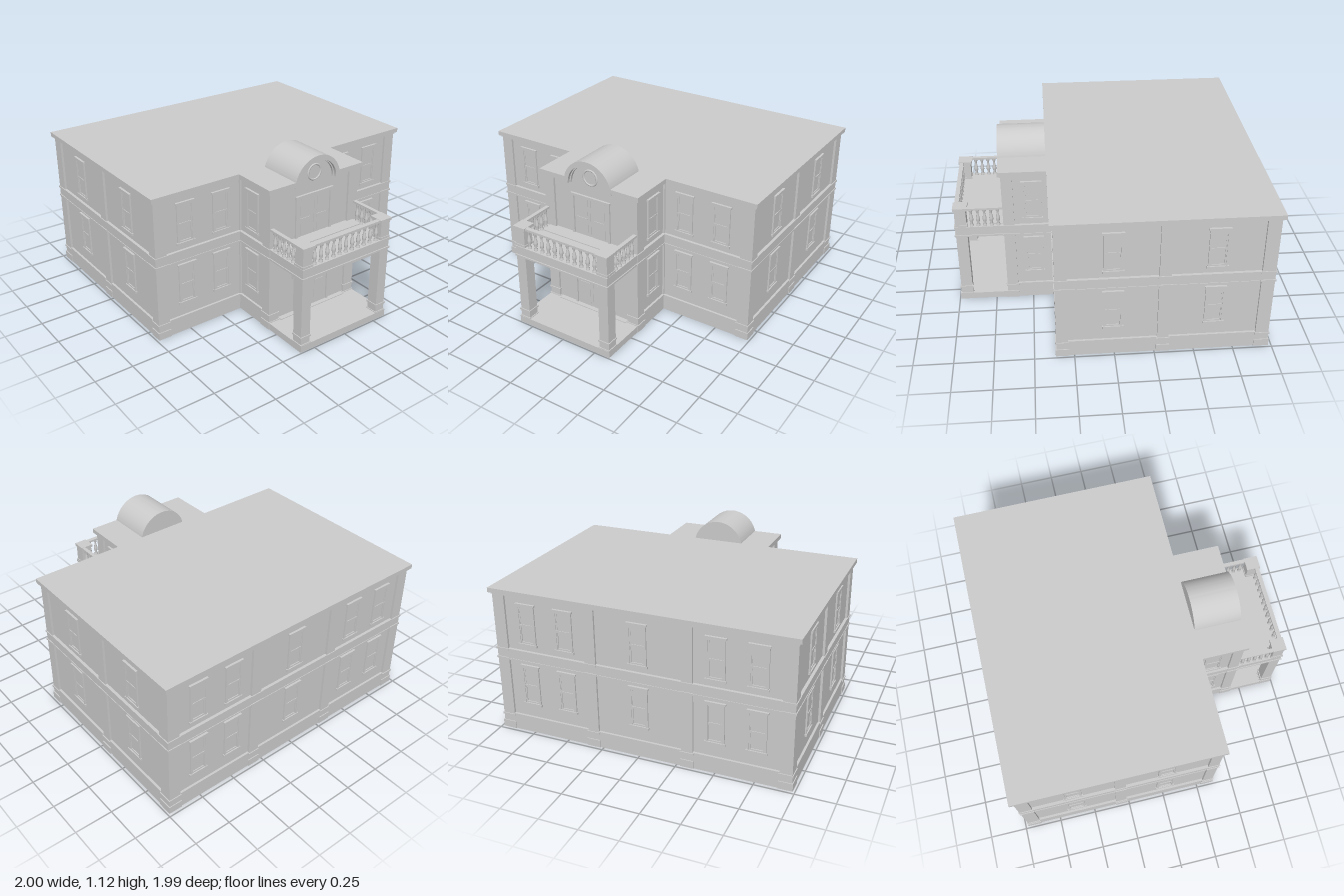
import * as THREE from 'three';
import { toCreasedNormals } from 'three/addons/utils/BufferGeometryUtils.js';

const material = new THREE.MeshStandardMaterial({ color: 0xcccccc });

function add(parent, name, geometry) {
  const mesh = new THREE.Mesh(geometry, material);
  mesh.name = name;
  parent.add(mesh);
  return mesh;
}

// Box given by its limits on each axis
function box(parent, name, x0, x1, y0, y1, z0, z1) {
  const mesh = add(parent, name, new THREE.BoxGeometry(x1 - x0, y1 - y0, z1 - z0));
  mesh.position.set((x0 + x1) / 2, (y0 + y1) / 2, (z0 + z1) / 2);
  return mesh;
}

// T-shaped footprint grown by d, from the front left corner round to the front right
function footprint(d) {
  const left = [[0.355 + d, 0.672 + d], [0.355 + d, 0.362 + d], [0.98 + d, 0.362 + d], [0.98 + d, -0.974 - d]];
  const right = left.map(([x, z]) => [-x, z]).reverse();
  return [...left, ...right].map(([x, z]) => new THREE.Vector2(x, z));
}

function extrudeUp(shape, y0, y1) {
  const g = new THREE.ExtrudeGeometry(shape, { depth: y1 - y0, bevelEnabled: false });
  g.rotateX(Math.PI / 2);
  return g.translate(0, y1, 0);
}

// Hollow band round the whole house, optionally open at the middle of the front
function band(parent, name, d, y0, y1, gap = 0, inner = -0.075) {
  const outer = footprint(d), inside = footprint(inner).reverse();
  let shape;
  if (gap) {
    const at = (x, z) => new THREE.Vector2(x, z);
    shape = new THREE.Shape([at(gap, 0.672 + d), ...outer, at(-gap, 0.672 + d),
      at(-gap, 0.672 + inner), ...inside, at(gap, 0.672 + inner)]);
  } else {
    shape = new THREE.Shape(outer);
    shape.holes.push(new THREE.Path(inside));
  }
  add(parent, name, extrudeUp(shape, y0, y1));
}

// Square pilaster with a foot and thin mouldings
function pilaster(parent, x0, x1, z0, z1, top = 0.955) {
  const g = new THREE.Group();
  g.name = 'pilaster';
  box(g, 'shaft', x0, x1, 0, top, z0, z1);
  const e = 0.006;
  for (const [a, b] of [[0, 0.05], [0.092, 0.104], [0.505, 0.517], [0.568, 0.58]])
    if (b < top) box(g, 'moulding', x0 - e, x1 + e, a, b, z0 - e, z1 + e);
  parent.add(g);
}

// Sash window; its origin is the middle of its foot on the wall face
function makeWindow() {
  const g = new THREE.Group();
  g.name = 'window';
  box(g, 'sill', -0.066, 0.066, 0, 0.016, -0.01, 0.014);
  box(g, 'head', -0.06, 0.06, 0.262, 0.276, -0.01, 0.011);
  box(g, 'headCap', -0.067, 0.067, 0.274, 0.286, -0.01, 0.015);
  for (const s of [-1, 1]) {
    box(g, 'jamb', s * 0.054 - 0.006, s * 0.054 + 0.006, 0.014, 0.264, -0.01, 0.01);
    box(g, 'sashStile', s * 0.044 - 0.004, s * 0.044 + 0.004, 0.014, 0.264, -0.01, 0.006);
  }
  box(g, 'meetingRail', -0.05, 0.05, 0.132, 0.146, -0.01, 0.008);
  box(g, 'upperSash', -0.05, 0.05, 0.14, 0.264, -0.01, 0.004);
  box(g, 'lowerRail', -0.05, 0.05, 0.014, 0.026, -0.01, 0.006);
  return g;
}

// Framed double door standing on the bay front
function door(parent, name, y0, y1) {
  const g = new THREE.Group();
  g.name = name;
  const z = 0.65;
  for (const s of [-1, 1]) {
    box(g, 'jamb', s * 0.138 - 0.008, s * 0.138 + 0.008, y0, y1 - 0.015, z, 0.668);
    box(g, 'leaf', s * 0.066 - 0.061, s * 0.066 + 0.061, y0, y1 - 0.02, z, 0.66);
    for (const [a, b] of [[0.06, 0.45], [0.53, 0.92]])
      box(g, 'doorPanel', s * 0.066 - 0.04, s * 0.066 + 0.04,
        y0 + a * (y1 - y0), y0 + b * (y1 - y0), z, 0.663);
  }
  box(g, 'lintel', -0.15, 0.15, y1 - 0.018, y1, z, 0.672);
  parent.add(g);
}

function halfRing(outer, inner, depth) {
  const s = new THREE.Shape();
  s.absarc(0, 0, outer, 0, Math.PI, false);
  if (inner) s.absarc(0, 0, inner, Math.PI, 0, true);
  return toCreasedNormals(
    new THREE.ExtrudeGeometry(s, { depth, bevelEnabled: false, curveSegments: 32 }), 0.5);
}

export function createModel() {
  const house = new THREE.Group();
  house.name = 'house';

  // Hollow walls with plinth, belt course and cornice
  band(house, 'walls', -0.015, 0.001, 0.955);
  band(house, 'footing', 0, 0, 0.045);
  band(house, 'plinth', 0, 0.045, 0.11, 0.28);
  band(house, 'beltCourse', 0, 0.5, 0.58);
  band(house, 'lowerBeltMoulding', 0.004, 0.505, 0.514);
  band(house, 'upperBeltMoulding', 0.004, 0.571, 0.58);
  band(house, 'cornice', 0.006, 0.943, 0.957, 0.15);

  // Roof slab, notched where the arch opens
  const outline = footprint(0.019);
  const notch = [[-0.15, 0.691], [-0.15, 0.655], [0.15, 0.655], [0.15, 0.691]];
  const roof = new THREE.Shape([...outline, ...notch.map(([x, z]) => new THREE.Vector2(x, z))]);
  add(house, 'roof', extrudeUp(roof, 0.955, 0.985));

  // Barrel arch over the bay
  const arch = new THREE.Group();
  arch.name = 'barrelArch';
  arch.position.set(0, 0.943, 0.382);
  add(arch, 'barrel', halfRing(0.179, 0.149, 0.31));
  add(arch, 'innerMoulding', halfRing(0.15, 0.141, 0.29));
  add(arch, 'tympanum', halfRing(0.149, 0, 0.275));
  const roundel = add(arch, 'roundel', new THREE.TorusGeometry(0.05, 0.007, 16, 40));
  roundel.position.set(0, 0.06, 0.273);
  house.add(arch);

  // Pilasters and windows, mirrored left and right
  const windowAt = (x, z, turn) => {
    for (const y of [0.195, 0.615]) {
      const w = makeWindow();
      w.position.set(x, y, z);
      w.rotation.y = turn;
      house.add(w);
    }
  };
  for (const s of [-1, 1]) {
    const column = (a, b, z0, z1, top) =>
      pilaster(house, Math.min(s * a, s * b), Math.max(s * a, s * b), z0, z1, top);
    column(0.9, 0.98, 0.288, 0.362);
    column(0.9, 0.98, -0.974, -0.89);
    column(0.9, 0.98, -0.34, -0.267);
    column(0.28, 0.355, -0.974, -0.894);
    column(0.28, 0.355, 0.6, 0.672);
    column(0.28, 0.352, 0.28, 0.358);
    for (const x of [0.495, 0.755]) {
      windowAt(s * x, 0.347, 0);
      windowAt(s * x, -0.959, Math.PI);
    }
    for (const z of [0.01, -0.615]) windowAt(s * 0.965, z, s * Math.PI / 2);
    windowAt(s * 0.34, 0.48, s * Math.PI / 2);
    // Porch post
    column(0.28, 0.35, 0.91, 0.985, 0.5);
  }
  windowAt(0, -0.959, Math.PI);

  // Doors of the porch and balcony
  door(house, 'frontDoor', 0.045, 0.45);
  door(house, 'balconyDoor', 0.58, 0.872);
  const handle = add(house, 'doorHandle', new THREE.CapsuleGeometry(0.006, 0.035, 4, 8));
  handle.position.set(-0.157, 0.325, 0.682);
  box(house, 'handlePlate', -0.163, -0.151, 0.3, 0.35, 0.65, 0.678);

  // Porch floor and balcony slab
  box(house, 'porchFloor', -0.355, 0.355, 0, 0.045, 0.6, 0.993);
  box(house, 'threshold', -0.27, 0.27, 0.02, 0.05, 0.62, 0.69);
  box(house, 'balconySlab', -0.35, 0.35, 0.5, 0.58, 0.66, 0.986);
  for (const y of [0.505, 0.568])
    box(house, 'balconyMoulding', -0.356, 0.356, y, y + 0.012, 0.66, 0.993);
  box(house, 'balconyStep', -0.33, 0.33, 0.578, 0.586, 0.65, 0.75);

  // Balustrade
  const rail = new THREE.Group();
  rail.name = 'balustrade';
  const profile = [[0.013, 0], [0.013, 0.012], [0.007, 0.02], [0.013, 0.045], [0.013, 0.06],
    [0.007, 0.09], [0.007, 0.105], [0.012, 0.115], [0.012, 0.13]];
  const turned = new THREE.LatheGeometry(profile.map(([r, y]) => new THREE.Vector2(r, y)), 10);
  const baluster = (x, z) => add(rail, 'baluster', turned).position.set(x, 0.578, z);
  for (let i = 0; i < 11; i++) baluster(-0.25 + i * 0.05, 0.969);
  box(rail, 'frontRail', -0.28, 0.28, 0.704, 0.718, 0.955, 0.984);
  for (const s of [-1, 1]) {
    for (let i = 0; i < 5; i++) baluster(s * 0.337, 0.705 + i * 0.043);
    box(rail, 'sideRail', s * 0.34 - 0.013, s * 0.34 + 0.013, 0.704, 0.718, 0.66, 0.92);
    box(rail, 'cornerPost', s * 0.314 - 0.036, s * 0.314 + 0.036, 0.575, 0.706, 0.91, 0.984);
    box(rail, 'postCap', s * 0.311 - 0.045, s * 0.311 + 0.045, 0.702, 0.72, 0.9, 0.993);
    box(rail, 'postFoot', s * 0.314 - 0.04, s * 0.314 + 0.04, 0.578, 0.595, 0.906, 0.988);
  }
  house.add(rail);
  return house;
}
